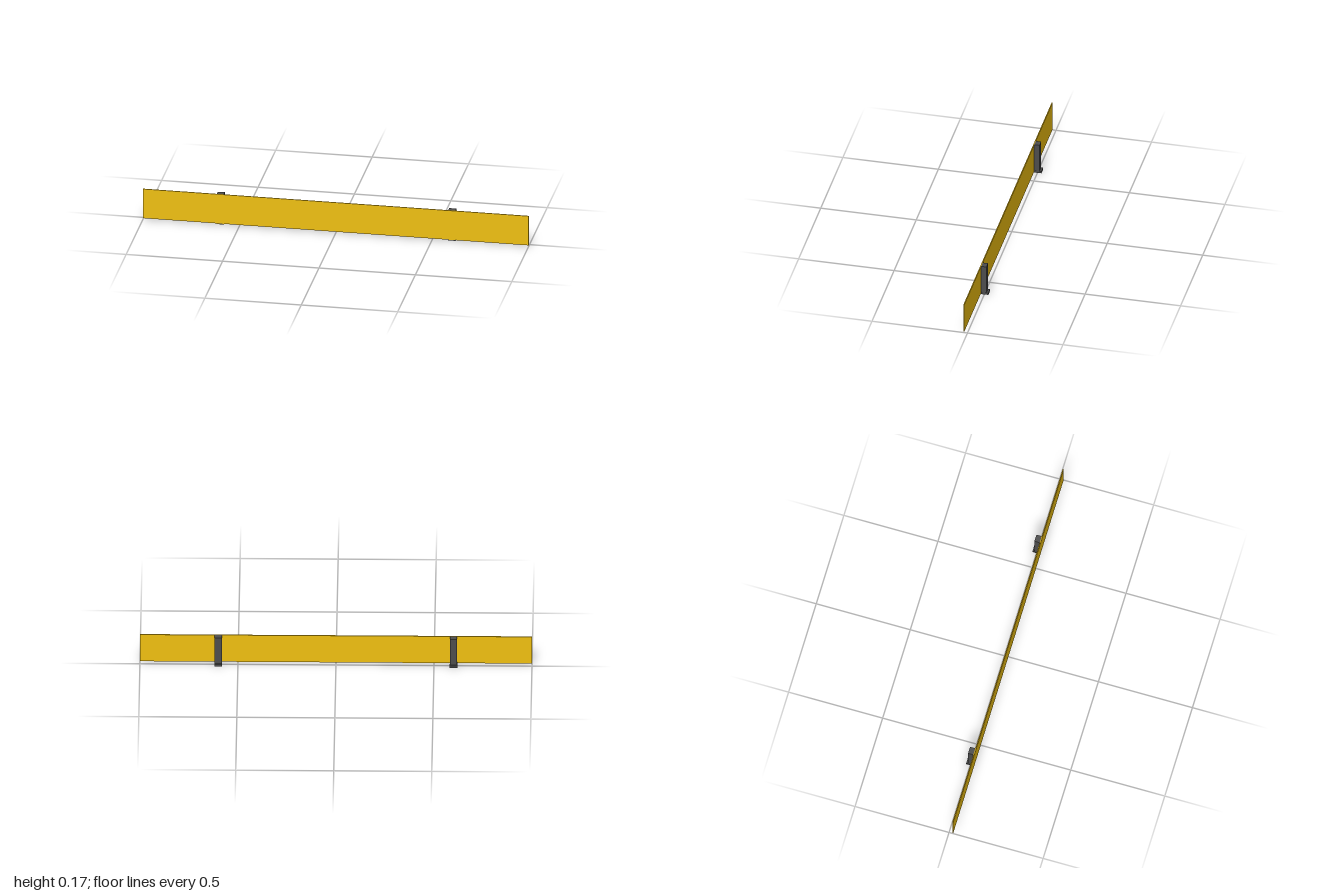
import * as THREE from 'three';

const yellow = new THREE.MeshStandardMaterial({ color: 0xf0c010 });
const darkGrey = new THREE.MeshStandardMaterial({ color: 0x4d4d4d });

// Box given by its centre x, width, and y and z ranges
function box(name, material, x, width, [y0, y1], [z0, z1]) {
  const mesh = new THREE.Mesh(new THREE.BoxGeometry(width, y1 - y0, z1 - z0), material);
  mesh.name = name;
  mesh.position.set(x, (y0 + y1) / 2, (z0 + z1) / 2);
  return mesh;
}

export function createModel() {
  const model = new THREE.Group();
  model.name = 'barrierBoard';

  // Long thin front board
  model.add(box('board', yellow, 0, 2, [0.005, 0.166], [0.017, 0.022]));

  // Two posts behind the board, each on a small foot plate
  for (const [side, x] of [['left', 0.6], ['right', -0.6]]) {
    const support = new THREE.Group();
    support.name = `${side}Support`;
    support.add(
      box('post', darkGrey, x, 0.037, [0.011, 0.166], [-0.011, 0.017]),
      box('footPlate', darkGrey, x, 0.039, [0, 0.011], [-0.021, 0.0195])
    );
    model.add(support);
  }
  return model;
}
